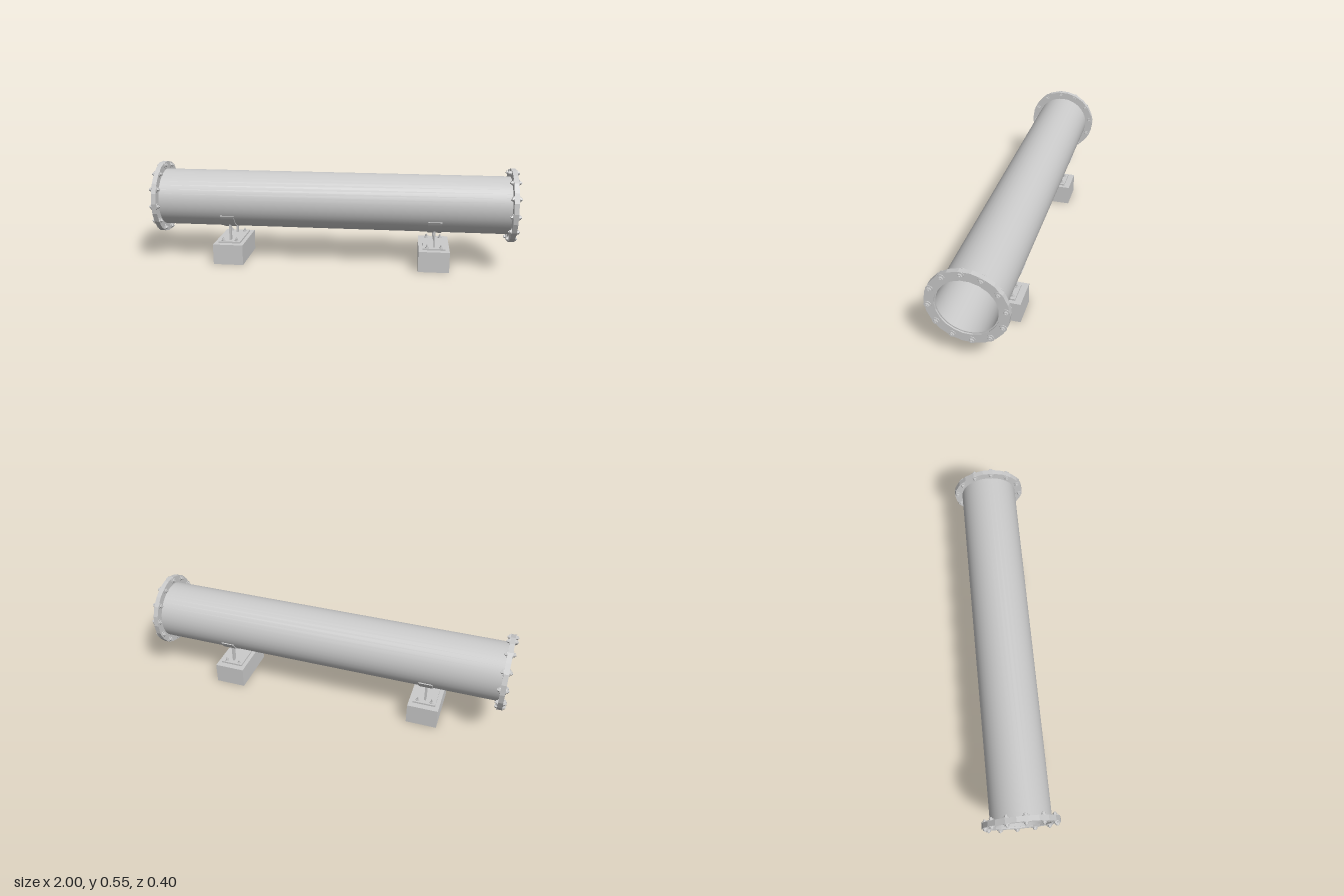
import * as THREE from 'three';
import { toCreasedNormals } from 'three/addons/utils/BufferGeometryUtils.js';

const PIPE_Y = 0.35;
const grey = new THREE.MeshStandardMaterial({ color: 0xcccccc });
const flat = new THREE.MeshStandardMaterial({ color: 0xcccccc, flatShading: true });

function add(parent, name, geometry, material = flat, x = 0, y = 0, z = 0) {
  const mesh = new THREE.Mesh(geometry, material);
  mesh.name = name;
  mesh.position.set(x, y, z);
  parent.add(mesh);
  return mesh;
}

// Closed ring profile revolved round y
function ringProfile(outer, inner, half, sides) {
  const pts = [[inner, -half], [outer, -half], [outer, half], [inner, half], [inner, -half]];
  return new THREE.LatheGeometry(pts.map(p => new THREE.Vector2(...p)), sides);
}

// Washer, hex nut and stud end, standing on y = 0
function makeFastener(name, r, h) {
  const g = new THREE.Group();
  g.name = name;
  add(g, 'washer', new THREE.CylinderGeometry(r, r, h * 0.2, 16), flat, 0, h * 0.1);
  add(g, 'nut', new THREE.CylinderGeometry(r * 0.62, r * 0.62, h * 0.5, 6), flat, 0, h * 0.45);
  add(g, 'studEnd', new THREE.CylinderGeometry(r * 0.3, r * 0.3, h * 0.3, 8), flat, 0, h * 0.85);
  return g;
}

// Flange ring with bolts on both faces
function makeFlange(x) {
  const g = new THREE.Group();
  g.name = x > 0 ? 'leftFlange' : 'rightFlange';
  g.position.set(x, PIPE_Y, 0);
  const half = 0.013;
  add(g, 'flangeRing', ringProfile(0.2, 0.153, half, 22).rotateZ(-Math.PI / 2));
  for (let i = 0; i < 12; i++) {
    const a = (i / 12) * Math.PI * 2 + 0.1;
    for (const side of [-1, 1]) {
      const bolt = makeFastener('flangeBolt', 0.018, 0.017);
      bolt.rotation.z = -side * Math.PI / 2;
      bolt.position.set(side * half, Math.sin(a) * 0.183, -Math.cos(a) * 0.183);
      g.add(bolt);
    }
  }
  return g;
}

// Curved cradle plate hugging the underside of the pipe
function saddleGeometry(width) {
  const shape = new THREE.Shape();
  const a0 = Math.PI + 0.46, a1 = Math.PI * 2 - 0.46;
  shape.absarc(0, 0, 0.162, a0, a1, false);
  shape.absarc(0, 0, 0.154, a1, a0, true);
  const geo = new THREE.ExtrudeGeometry(shape, { depth: width, bevelEnabled: false, curveSegments: 20 });
  geo.translate(0, 0, -width / 2).rotateY(Math.PI / 2);
  return toCreasedNormals(geo, 0.6);
}

function makeSupport(x) {
  const g = new THREE.Group();
  g.name = x > 0 ? 'leftSupport' : 'rightSupport';
  g.position.x = x;
  add(g, 'footing', new THREE.BoxGeometry(0.168, 0.115, 0.302), flat, 0, 0.0575);
  add(g, 'basePlate', new THREE.BoxGeometry(0.124, 0.009, 0.234), flat, 0, 0.1195);
  add(g, 'saddle', saddleGeometry(0.074), grey, 0, PIPE_Y);
  for (const sz of [-1, 1]) {
    add(g, 'post', new THREE.BoxGeometry(0.01, 0.092, 0.025), flat, 0, 0.17, sz * 0.077);
    for (const sx of [-1, 1]) {
      const anchor = makeFastener('anchorBolt', 0.011, 0.019);
      anchor.position.set(sx * 0.038, 0.124, sz * 0.096);
      g.add(anchor);
    }
  }
  return g;
}

export function createModel() {
  const model = new THREE.Group();
  model.name = 'pipeOnSupports';

  // Hollow pipe along x
  const pipe = ringProfile(0.157, 0.146, 0.975, 40).rotateZ(-Math.PI / 2);
  add(model, 'pipe', toCreasedNormals(pipe, 0.6), grey, 0, PIPE_Y);

  for (const s of [-1, 1]) model.add(makeFlange(s * 0.97));
  for (const x of [-0.578, 0.56]) model.add(makeSupport(x));
  return model;
}
